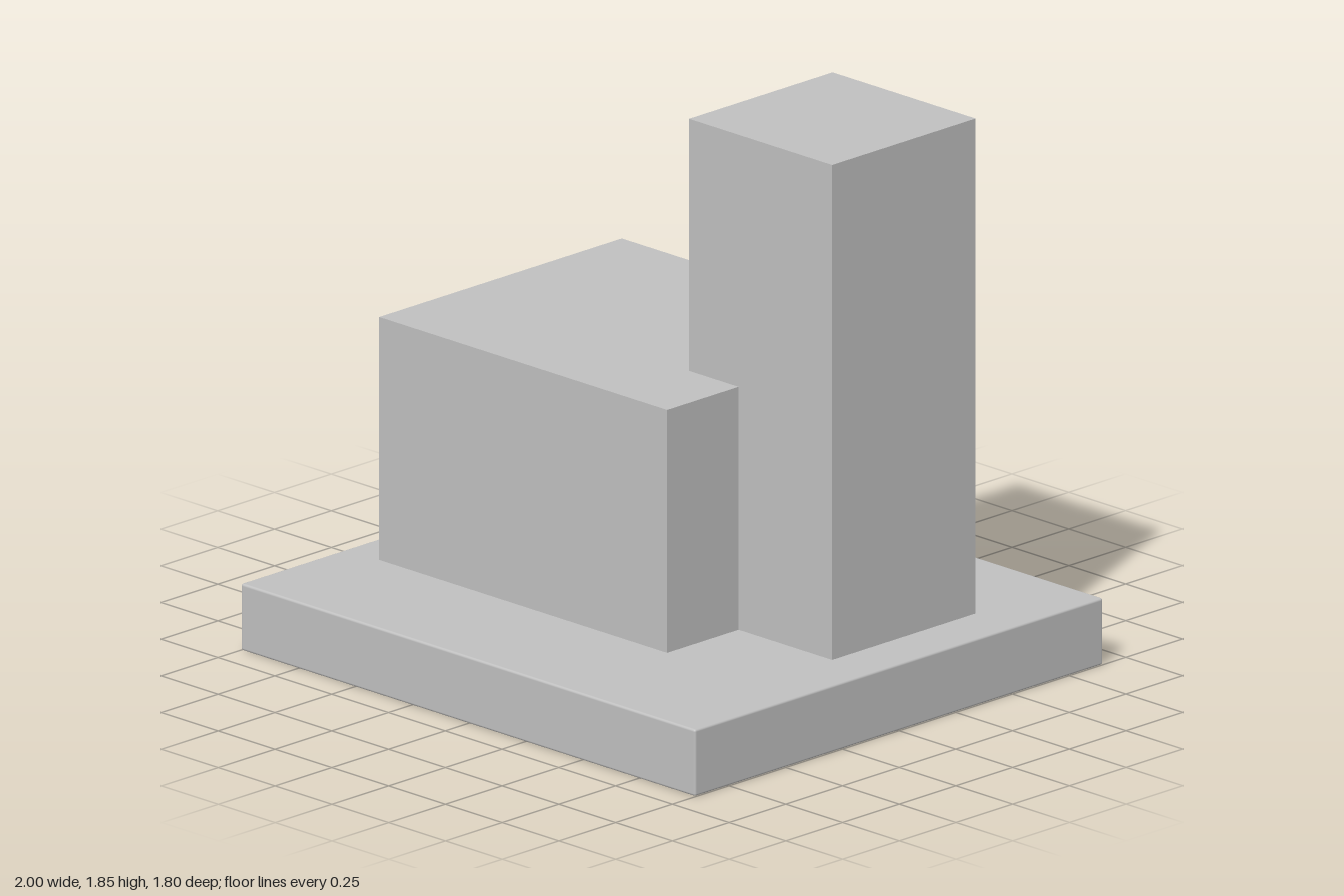
import * as THREE from 'three';
import { RoundedBoxGeometry } from 'three/addons/geometries/RoundedBoxGeometry.js';

export function createModel() {
  const group = new THREE.Group();
  const grey = new THREE.MeshStandardMaterial({ color: 0xc0c0c0 });
  grey.name = 'plain grey';

  // Adds a box given its extents along each axis; edge is the softened edge radius
  function addBox(name, [x0, x1], [y0, y1], [z0, z1], edge = 0) {
    const size = [x1 - x0, y1 - y0, z1 - z0];
    const geometry = edge
      ? new RoundedBoxGeometry(...size, 2, edge)
      : new THREE.BoxGeometry(...size);
    const mesh = new THREE.Mesh(geometry, grey);
    mesh.name = name;
    mesh.position.set((x0 + x1) / 2, (y0 + y1) / 2, (z0 + z1) / 2);
    group.add(mesh);
  }

  // Slab with slightly softened edges
  addBox('baseSlab', [-1, 1], [0, 0.22], [-0.9, 0.9], 0.008);
  // Wide low block
  addBox('lowBlock', [-0.855, 0.413], [0.215, 1.02], [-0.635, 0.435]);
  // Tall tower cutting into the low block
  addBox('tower', [0.195, 0.825], [0.215, 1.85], [-0.513, 0.12]);

  return group;
}
